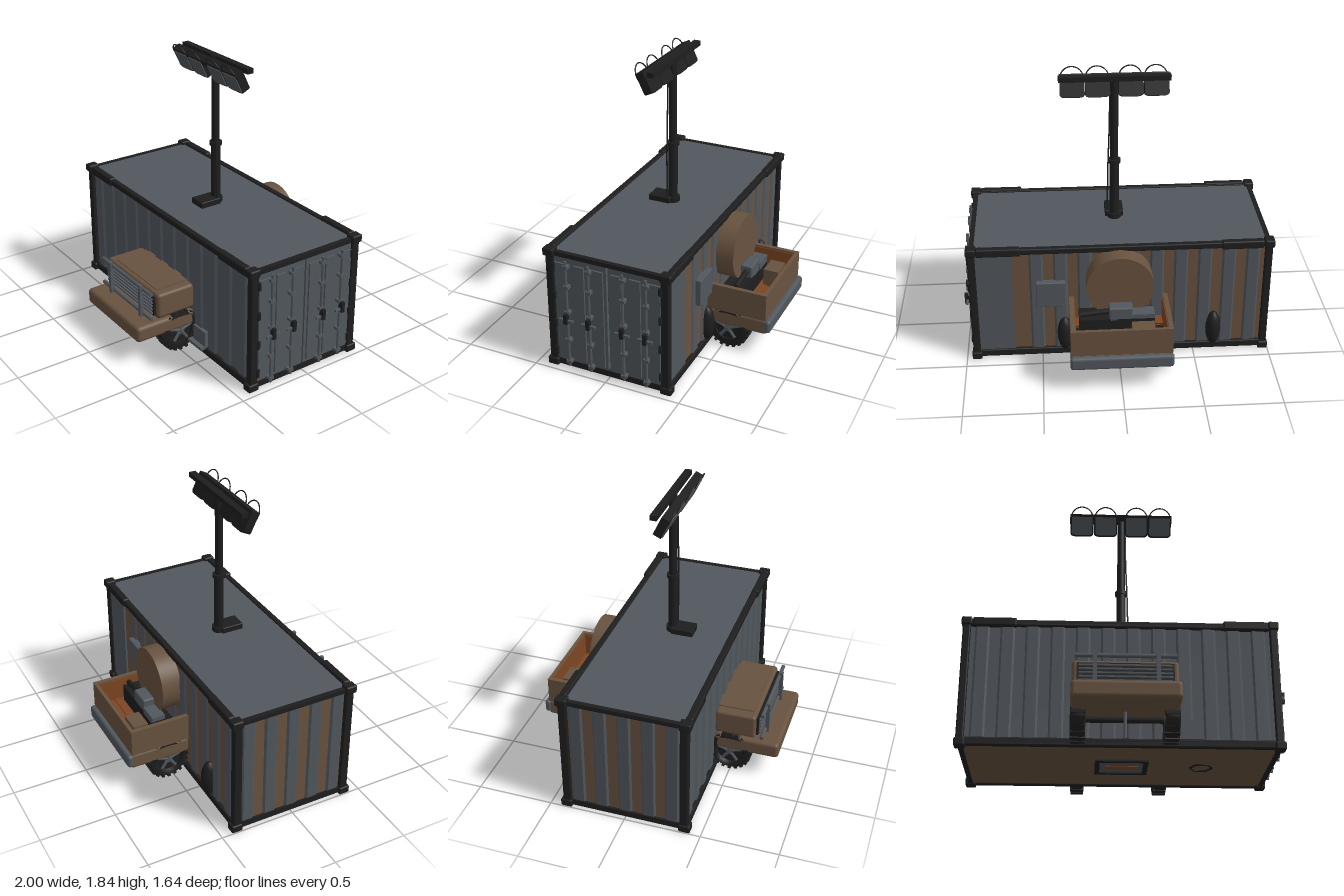
import * as THREE from 'three';
import { RoundedBoxGeometry } from 'three/addons/geometries/RoundedBoxGeometry.js';

export function createModel() {
  const mat = (name, color) => Object.assign(new THREE.MeshStandardMaterial({ color }), { name });
  const black = mat('frame black', 0x1d1e1d);
  const grey = mat('steel grey', 0x51575d);
  const brown = mat('dusty brown', 0x68523f);
  const rust = mat('rust orange', 0x7d4522);
  const model = new THREE.Group();
  model.name = 'containerWithTruckAndLightMast';

  const group = (name, parent = model) => {
    const g = new THREE.Group();
    g.name = name;
    parent.add(g);
    return g;
  };
  const add = (parent, name, geo, m, x = 0, y = 0, z = 0) => {
    const mesh = new THREE.Mesh(geo, m);
    mesh.name = name;
    mesh.position.set(x, y, z);
    parent.add(mesh);
    return mesh;
  };
  // box given by its minimum and maximum on each axis
  const box = (p, name, m, x0, x1, y0, y1, z0, z1, r = 0) => {
    const s = [x1 - x0, y1 - y0, z1 - z0];
    const geo = r ? new RoundedBoxGeometry(...s, 2, r) : new THREE.BoxGeometry(...s);
    return add(p, name, geo, m, (x0 + x1) / 2, (y0 + y1) / 2, (z0 + z1) / 2);
  };
  // round bar between two points
  const rod = (p, name, m, a, b, r, sides = 10) => {
    const va = new THREE.Vector3(...a), vb = new THREE.Vector3(...b);
    const dir = vb.clone().sub(va);
    const mesh = add(p, name, new THREE.CylinderGeometry(r, r, dir.length(), sides), m);
    mesh.position.copy(va).add(vb).multiplyScalar(0.5);
    mesh.quaternion.setFromUnitVectors(new THREE.Vector3(0, 1, 0), dir.normalize());
    return mesh;
  };

  // ---- container shell
  const shell = group('container');
  box(shell, 'roof', grey, -0.96, 0.93, 0.795, 0.815, -0.38, 0.38);
  box(shell, 'floor', brown, -0.96, 0.93, 0.02, 0.05, -0.39, 0.39);
  box(shell, 'frontWall', grey, -0.95, 0.92, 0.05, 0.8, 0.37, 0.388);
  box(shell, 'backWall', brown, -0.95, 0.68, 0.05, 0.8, -0.388, -0.37);
  box(shell, 'backWallEnd', grey, 0.68, 0.92, 0.05, 0.8, -0.4, -0.37);
  box(shell, 'endWall', brown, -0.965, -0.945, 0.05, 0.8, -0.38, 0.38);

  // corrugation ribs
  const rib = (w, h, d) => {
    const s = new THREE.Shape([[-w / 2, 0], [w / 2, 0], [w / 2 - d, d], [-w / 2 + d, d]].map(q => new THREE.Vector2(...q)));
    return new THREE.ExtrudeGeometry(s, { depth: h, bevelEnabled: false }).rotateX(-Math.PI / 2);
  };
  const sideRib = rib(0.09, 0.74, 0.012);
  for (let i = 0; i < 12; i++) {
    const x = -0.87 + i * 0.155;
    add(shell, 'frontRib', sideRib, grey, x, 0.055, 0.388).rotation.y = Math.PI;
    if (x < 0.66) add(shell, 'backRib', sideRib, grey, x, 0.055, -0.388);
  }
  for (let i = -2; i <= 2; i++) add(shell, 'endRib', sideRib, grey, -0.965, 0.055, i * 0.155).rotation.y = Math.PI / 2;

  // frame: rails, posts and corner castings
  const frame = group('frame');
  for (const s of [-1, 1]) {
    const zr = (a, b) => (s > 0 ? [a, b] : [-b, -a]);
    box(frame, 'topRail', black, -0.96, 0.93, 0.785, 0.825, ...zr(0.375, 0.415), 0.008);
    for (const [a, b] of [[-0.93, -0.66], [0.62, 0.9]])
      box(frame, 'railSleeve', black, a, b, 0.78, 0.835, ...zr(0.378, 0.425), 0.01);
    box(frame, 'bottomRail', black, -0.96, 0.93, 0.01, 0.06, ...zr(0.375, 0.412), 0.008);
    for (const [a, b] of [[-1, -0.935], [0.9, 0.965]]) {
      box(frame, 'cornerPost', black, a + 0.008, b - 0.008, 0.04, 0.8, ...zr(0.36, 0.415), 0.01);
      for (const y of [0, 0.785])
        box(frame, 'cornerCasting', black, a, b, y, y + 0.052, ...zr(0.355, 0.43), 0.01);
    }
  }
  for (const x of [-0.965, 0.93]) {
    box(frame, 'endHeader', black, x - 0.015, x + 0.015, 0.79, 0.82, -0.37, 0.37);
    box(frame, 'endSill', black, x - 0.015, x + 0.015, 0.01, 0.05, -0.37, 0.37);
  }

  // ---- cargo doors with locking bars
  const doors = group('doors');
  for (const s of [-1, 1]) {
    const zr = (a, b) => (s > 0 ? [a, b] : [-b, -a]);
    box(doors, 'door', grey, 0.92, 0.94, 0.035, 0.79, ...zr(0.006, 0.365));
    for (const z of [0.06, 0.19, 0.32])
      box(doors, 'doorPanel', grey, 0.94, 0.952, 0.07, 0.75, ...zr(z - 0.035, z + 0.035));
    for (const z of [0.115, 0.27]) {
      rod(doors, 'lockBar', grey, [0.966, 0.03, s * z], [0.966, 0.78, s * z], 0.009);
      for (const y of [0.06, 0.22, 0.42, 0.6, 0.74])
        box(doors, 'barBracket', grey, 0.94, 0.978, y - 0.01, y + 0.01, s * z - 0.018, s * z + 0.018);
      box(doors, 'doorHandle', grey, 0.975, 0.99, 0.362, 0.378, s * z - 0.05, s * z + 0.05);
      box(doors, 'handleLatch', black, 0.97, 1, 0.35, 0.42, s * z - 0.012, s * z + 0.012);
    }
    for (const y of [0.12, 0.32, 0.52, 0.72])
      rod(doors, 'hinge', black, [0.955, y - 0.025, s * 0.36], [0.955, y + 0.025, s * 0.36], 0.012);
  }

  // ---- underside hatches
  const under = group('underside');
  for (const s of [-1, 1]) {
    box(under, 'hatchEdge', black, -0.15, 0.15, 0.008, 0.022, s * 0.12 - 0.015, s * 0.12 + 0.015);
    box(under, 'hatchSide', black, s * 0.15 - 0.015, s * 0.15 + 0.015, 0.008, 0.022, -0.135, 0.135);
  }
  box(under, 'hatchPanel', grey, -0.13, 0.13, 0.014, 0.021, -0.1, 0.1);
  box(under, 'hatchBar', rust, -0.1, 0.1, 0.009, 0.015, -0.03, 0.03);
  const port = add(under, 'roundPort', new THREE.TorusGeometry(0.07, 0.008, 6, 6), black, 0.5, 0.018, 0);
  port.rotation.x = Math.PI / 2;

  // ---- pickup truck passing through the container
  const truck = group('truck');
  box(truck, 'frontBumper', brown, -0.32, 0.32, 0.16, 0.268, 0.39, 0.82, 0.025);
  box(truck, 'hood', brown, -0.315, 0.315, 0.285, 0.453, 0.39, 0.66, 0.02);
  box(truck, 'hoodPanel', brown, -0.25, 0.25, 0.45, 0.459, 0.39, 0.63);
  box(truck, 'hoodUnderside', black, -0.28, 0.28, 0.262, 0.29, 0.39, 0.64);
  box(truck, 'grille', black, -0.285, 0.285, 0.3, 0.43, 0.655, 0.675);
  for (let i = 0; i < 5; i++)
    box(truck, 'grilleBar', grey, -0.275, 0.275, 0.312 + i * 0.024, 0.322 + i * 0.024, 0.67, 0.688);
  // bull bar
  for (const y of [0.29, 0.465]) rod(truck, 'bullBar', grey, [-0.3, y, 0.7], [0.3, y, 0.7], 0.013);
  for (const x of [-0.18, 0.19]) box(truck, 'bullBarPost', grey, x - 0.012, x + 0.012, 0.22, 0.49, 0.7, 0.724);

  // rear body and open bed
  box(truck, 'rearSkirt', brown, -0.32, 0.32, 0.16, 0.268, -0.8, -0.39, 0.02);
  box(truck, 'rearBumper', grey, -0.327, 0.327, 0.175, 0.265, -0.825, -0.78, 0.02);
  box(truck, 'bedFloor', rust, -0.29, 0.29, 0.26, 0.28, -0.77, -0.39);
  for (let i = 0; i < 4; i++) box(truck, 'floorRidge', rust, -0.29, 0.29, 0.28, 0.288, -0.74 + i * 0.08, -0.71 + i * 0.08);
  for (const s of [-1, 1]) {
    box(truck, 'bedSide', brown, s * 0.305 - 0.015, s * 0.305 + 0.015, 0.265, 0.447, -0.79, -0.39);
    box(truck, 'bedSideLining', rust, s * 0.288 - 0.003, s * 0.288 + 0.003, 0.27, 0.435, -0.765, -0.39);
  }
  box(truck, 'tailgate', brown, -0.32, 0.32, 0.265, 0.447, -0.792, -0.77);
  box(truck, 'tailgateLining', rust, -0.29, 0.29, 0.27, 0.44, -0.77, -0.764);

  // cargo
  const drum = add(truck, 'cableDrum', new THREE.CylinderGeometry(0.215, 0.215, 0.14, 40), brown, -0.005, 0.585, -0.45);
  drum.rotation.x = Math.PI / 2;
  box(truck, 'crate', brown, -0.215, -0.07, 0.28, 0.4, -0.73, -0.63);
  box(truck, 'engineBlock', black, -0.22, 0.26, 0.28, 0.4, -0.6, -0.46);
  box(truck, 'generator', grey, -0.08, 0.07, 0.38, 0.48, -0.6, -0.52, 0.01);
  box(truck, 'generatorBase', grey, -0.22, -0.08, 0.38, 0.43, -0.6, -0.51);
  rod(truck, 'exhaust', black, [0.07, 0.44, -0.56], [0.25, 0.42, -0.56], 0.018);

  // wheels
  const tyre = new THREE.LatheGeometry(
    [[0.085, -0.042], [0.125, -0.045], [0.138, -0.03], [0.138, 0.03], [0.125, 0.045], [0.085, 0.042], [0.085, -0.042]]
      .map(q => new THREE.Vector2(...q)), 28).rotateZ(Math.PI / 2);
  for (const z of [0.495, -0.535]) {
    rod(truck, 'axle', black, [-0.25, 0.145, z], [0.25, 0.145, z], 0.02);
    for (const s of [-1, 1]) {
      const wheel = group('wheel', truck);
      wheel.position.set(s * 0.275, 0.145, z);
      add(wheel, 'tyre', tyre, black);
      rod(wheel, 'rim', black, [-0.03, 0, 0], [0.03, 0, 0], 0.086, 24);
      rod(wheel, 'hub', grey, [-0.04, 0, 0], [0.04, 0, 0], 0.028, 14);
      for (let i = 0; i < 5; i++) {
        const a = i * Math.PI * 0.4;
        rod(wheel, 'spoke', grey, [s * 0.034, 0, 0], [s * 0.034, Math.cos(a) * 0.083, Math.sin(a) * 0.083], 0.011, 6);
      }
      for (let i = 0; i < 20; i++) {
        const lug = box(wheel, 'tread', black, -0.042, 0.042, 0.132, 0.144, -0.01, 0.01);
        const a = i * Math.PI / 10;
        lug.position.set(0, Math.cos(a) * 0.138, Math.sin(a) * 0.138);
        lug.rotation.x = a;
      }
    }
  }
  rod(truck, 'jackPost', grey, [0, 0, 0.58], [0, 0.16, 0.58], 0.011);

  // ---- fittings on the long walls
  const fittings = group('fittings');
  box(fittings, 'step', grey, 0.32, 0.47, 0.05, 0.07, 0.39, 0.445);
  box(fittings, 'stepPlate', grey, 0.34, 0.47, 0.05, 0.175, 0.39, 0.415);
  box(fittings, 'electricCabinet', grey, 0.34, 0.53, 0.4, 0.58, -0.435, -0.385, 0.006);
  for (const x of [-0.63, 0.35]) {
    const fender = add(fittings, 'wallBumper', new THREE.SphereGeometry(1, 20, 12), black, x, 0.17, -0.4);
    fender.scale.set(0.05, 0.125, 0.055);
  }

  // ---- light mast
  const mast = group('mast');
  box(mast, 'mastBase', black, -0.06, 0.06, 0.81, 0.855, 0, 0.15, 0.006);
  rod(mast, 'lowerMast', black, [0, 0.8, 0], [0, 1.23, 0], 0.031, 18);
  rod(mast, 'upperMast', black, [0, 1.23, 0], [0, 1.815, 0], 0.026, 18);
  rod(mast, 'mastCollar', black, [0, 1.215, 0], [0, 1.24, 0], 0.041, 18);
  rod(mast, 'mastFoot', black, [0, 0.81, 0], [0, 0.85, 0], 0.045, 18);
  const cable = new THREE.CatmullRomCurve3([[0.025, 1.78, 0.02], [0.03, 1.45, 0.025], [0.04, 1.15, 0.025], [0.045, 0.82, 0.02]]
    .map(q => new THREE.Vector3(...q)));
  add(mast, 'cable', new THREE.TubeGeometry(cable, 24, 0.005, 6), black);
  box(mast, 'lampRail', black, -0.355, 0.35, 1.785, 1.818, -0.032, 0.012);

  // lamp head tilted down, with half-hoop guards
  const head = group('lampHead', mast);
  head.position.set(0, 1.738, 0.03);
  head.rotation.x = 0.45;
  box(head, 'lampBar', black, -0.35, 0.345, 0.035, 0.075, -0.02, 0.034);
  const lampShape = (w, h, r) => {
    const s = new THREE.Shape();
    s.moveTo(-w, h);
    s.lineTo(-w, -h + r);
    s.quadraticCurveTo(-w, -h, -w + r * 2, -h);
    s.lineTo(w - r * 2, -h);
    s.quadraticCurveTo(w, -h, w, -h + r);
    s.lineTo(w, h);
    return s;
  };
  const housing = new THREE.ExtrudeGeometry(lampShape(0.078, 0.073, 0.02), { depth: 0.055, bevelEnabled: false });
  const lens = new THREE.ExtrudeGeometry(lampShape(0.07, 0.062, 0.018), { depth: 0.006, bevelEnabled: false });
  for (const x of [-0.27, -0.108, 0.102, 0.262]) {
    add(head, 'lampHousing', housing, black, x, 0, -0.022);
    add(head, 'lampLens', lens, grey, x, -0.005, 0.033);
    add(head, 'lampHoop', new THREE.TorusGeometry(0.074, 0.004, 6, 24, Math.PI), black, x, 0.05, 0.034);
  }
  return model;
}
